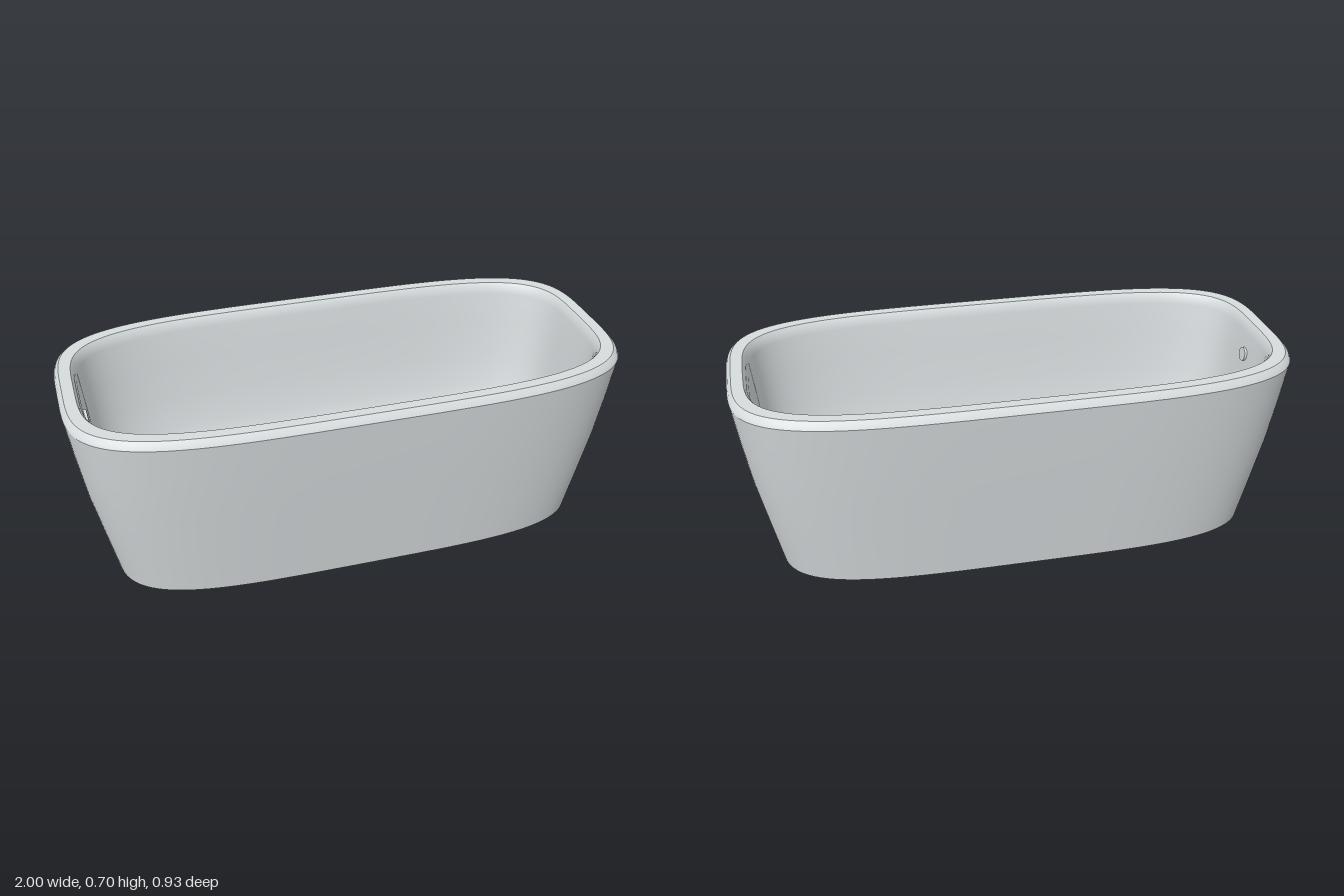
import * as THREE from 'three';

const SEGMENTS = 128;

// Joins superellipse rings [halfX, y, halfZ] into a smooth closed band
function loft(rings, material, name, power = 4) {
  const positions = [], indices = [];
  const bend = (v) => Math.sign(v) * Math.abs(v) ** (2 / power);
  rings.forEach(([a, y, b], j) => {
    for (let i = 0; i < SEGMENTS; i++) {
      const t = (i / SEGMENTS) * Math.PI * 2;
      positions.push(a * bend(Math.cos(t)), y, b * bend(Math.sin(t)));
      if (j === rings.length - 1) continue;
      const p = j * SEGMENTS + i, q = j * SEGMENTS + ((i + 1) % SEGMENTS);
      indices.push(p, p + SEGMENTS, q, q, p + SEGMENTS, q + SEGMENTS);
    }
  });
  const geometry = new THREE.BufferGeometry();
  geometry.setAttribute('position', new THREE.Float32BufferAttribute(positions, 3));
  geometry.setIndex(indices);
  geometry.computeVertexNormals();
  const mesh = new THREE.Mesh(geometry, material);
  mesh.name = name;
  return mesh;
}

export function createModel() {
  const tub = new THREE.Group();
  tub.name = 'bathtub';
  const enamel = new THREE.MeshStandardMaterial({ color: 0xd6dbdd });
  enamel.name = 'pale grey enamel';

  // Outer shell, from the underside up to the rim
  tub.add(loft([[0.001, 0, 0.001], [0.84, 0, 0.345]], enamel, 'underside'));
  tub.add(loft([[0.84, 0, 0.345], [0.873, 0.02, 0.38]], enamel, 'footBevel'));
  tub.add(loft([
    [0.873, 0.02, 0.38], [0.912, 0.19, 0.403], [0.95, 0.36, 0.426],
    [0.977, 0.52, 0.447], [1, 0.674, 0.465],
  ], enamel, 'outerWall'));
  tub.add(loft([[1, 0.674, 0.465], [0.995, 0.688, 0.457], [0.983, 0.7, 0.446]], enamel, 'rimBevel'));
  tub.add(loft([[0.983, 0.7, 0.446], [0.942, 0.7, 0.406]], enamel, 'rimTop'));

  // Basin, running down the inner wall and rounding into the floor
  tub.add(loft([
    [0.942, 0.7, 0.406], [0.932, 0.685, 0.396], [0.925, 0.66, 0.39],
    [0.91, 0.54, 0.376], [0.892, 0.4, 0.36], [0.872, 0.28, 0.338],
    [0.852, 0.21, 0.314], [0.825, 0.165, 0.284], [0.785, 0.138, 0.246],
    [0.72, 0.125, 0.2], [0.5, 0.12, 0.13], [0.001, 0.118, 0.001],
  ], enamel, 'basin'));

  // Drain, almost flush with the floor
  const drain = new THREE.Mesh(new THREE.CylinderGeometry(0.033, 0.033, 0.008, 32), enamel);
  drain.name = 'drain';
  drain.position.set(-0.655, 0.122, 0);
  tub.add(drain);

  // Overflow plate on the end wall, tilted with its slope
  const overflow = new THREE.Mesh(new THREE.CylinderGeometry(0.026, 0.026, 0.016, 32), enamel);
  overflow.name = 'overflow';
  overflow.position.set(-0.914, 0.58, 0);
  overflow.rotation.z = -Math.PI / 2 + 0.125;
  tub.add(overflow);

  return tub;
}
